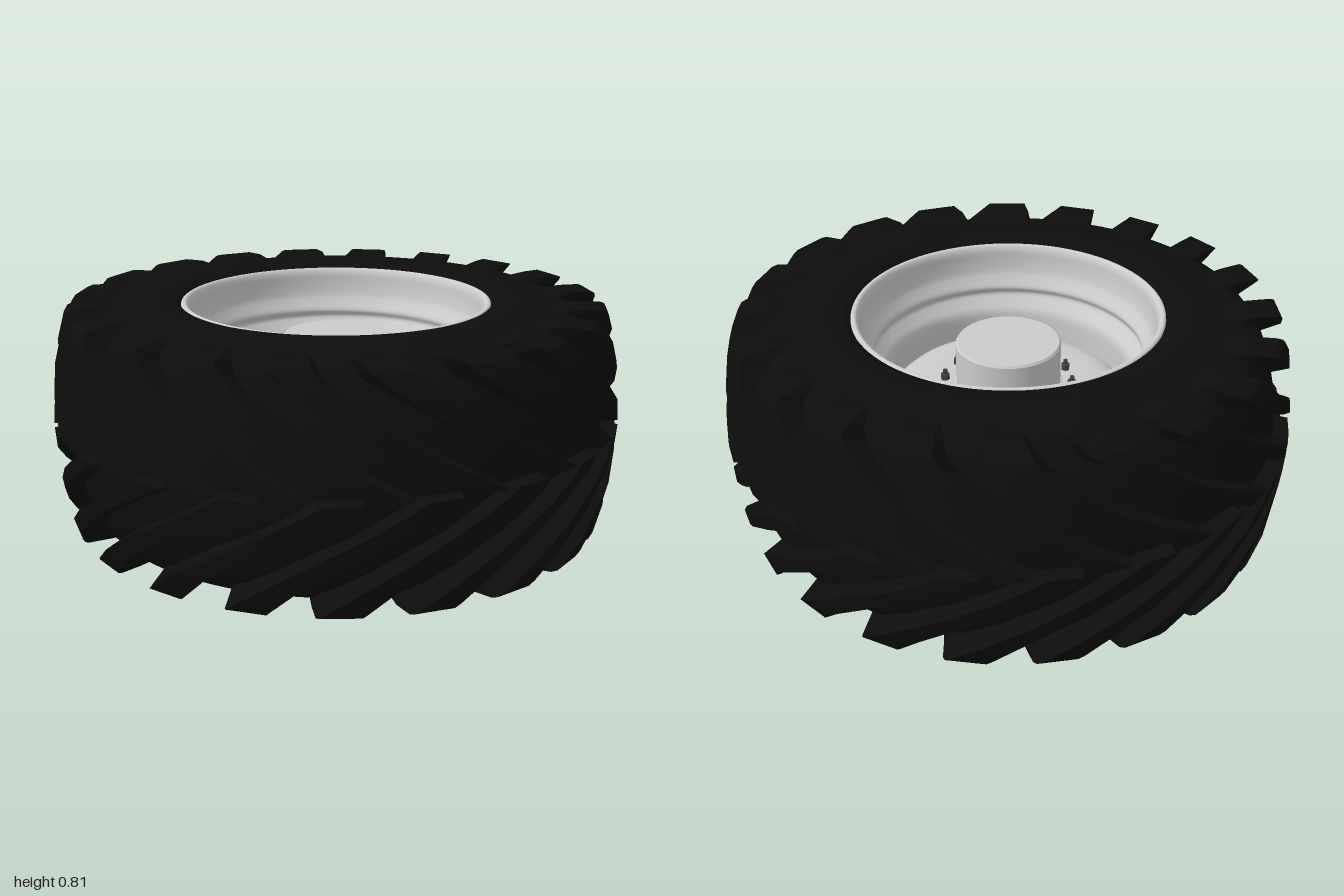
import * as THREE from 'three';
import { toCreasedNormals } from 'three/addons/utils/BufferGeometryUtils.js';

const MID = 0.405;      // height of the wheel's centre plane
const LUGS = 20;        // tread bars on each half
const PITCH = (Math.PI * 2) / LUGS;

const rubber = new THREE.MeshStandardMaterial({ color: 0x0d0d0d, side: THREE.DoubleSide });
const steel = new THREE.MeshStandardMaterial({ color: 0xcccccc, side: THREE.DoubleSide });
const darkSteel = new THREE.MeshStandardMaterial({ color: 0x444444 });

const vec = (list) => list.map(([r, y]) => new THREE.Vector2(r, y));

function addMesh(parent, name, geometry, material) {
  const mesh = new THREE.Mesh(geometry, material);
  mesh.name = name;
  parent.add(mesh);
  return mesh;
}

// Mirrors an upper-half profile (centre plane first) and turns it round the axle
function mirroredLathe(half, segments, smooth) {
  const lower = half.slice(1).reverse().map(([r, d]) => [r, -d]);
  let points = vec([...lower, ...half]);
  if (smooth) points = new THREE.SplineCurve(points).getPoints(smooth);
  return new THREE.LatheGeometry(points, segments);
}

// One tread bar: a tapered section swept from the centre plane over the shoulder.
// Each station: outer radius, outer offset, inner radius, inner offset, angle, half-width
const STATIONS = [
  [1.0, 0.0, 0.92, 0.0, 0.0, 0.055],
  [0.998, 0.04, 0.92, 0.04, -0.07, 0.05],
  [0.994, 0.1, 0.915, 0.1, -0.18, 0.048],
  [0.985, 0.2, 0.9, 0.19, -0.36, 0.052],
  [0.968, 0.3, 0.87, 0.28, -0.52, 0.058],
  [0.947, 0.37, 0.85, 0.33, -0.61, 0.068],
  [0.937, 0.387, 0.83, 0.34, -0.63, 0.071],
  [0.92, 0.394, 0.81, 0.35, -0.64, 0.073],
  [0.84, 0.398, 0.77, 0.37, -0.66, 0.075],
  [0.75, 0.394, 0.72, 0.37, -0.67, 0.07],
];

function lugGeometry(side) {
  const pos = [], index = [];
  const quad = (a, b, c, d) =>
    side > 0 ? index.push(a, b, c, a, c, d) : index.push(a, c, b, a, d, c);
  for (const [ro, dOut, ri, dIn, angle, w] of STATIONS) {
    const base = w + 0.025;
    for (const [r, d, a] of [[ri, dIn, -base], [ro, dOut, -w], [ro, dOut, w], [ri, dIn, base]]) {
      pos.push(r * Math.sin(angle + a), side * d, r * Math.cos(angle + a));
    }
  }
  for (let i = 0; i < STATIONS.length - 1; i++) {
    for (let k = 0; k < 3; k++) {
      const a = i * 4 + k;
      quad(a, a + 1, a + 5, a + 4);
    }
  }
  const last = (STATIONS.length - 1) * 4;
  quad(0, 3, 2, 1);
  quad(last, last + 1, last + 2, last + 3);
  // the section runs clockwise seen from outside, so flip every triangle
  for (let i = 0; i < index.length; i += 3) {
    [index[i + 1], index[i + 2]] = [index[i + 2], index[i + 1]];
  }
  const geometry = new THREE.BufferGeometry();
  geometry.setAttribute('position', new THREE.Float32BufferAttribute(pos, 3));
  geometry.setIndex(index);
  return toCreasedNormals(geometry, 0.6);
}

export function createModel() {
  const wheel = new THREE.Group();
  wheel.name = 'wheel';

  // Tyre body and its two staggered rows of bars
  const tyre = new THREE.Group();
  tyre.name = 'tyre';
  tyre.position.y = MID;
  wheel.add(tyre);
  const carcass = mirroredLathe([
    [0.945, 0], [0.935, 0.13], [0.91, 0.24], [0.88, 0.315], [0.84, 0.365],
    [0.78, 0.392], [0.65, 0.405], [0.58, 0.402], [0.55, 0.392], [0.54, 0.37],
  ], 100);
  addMesh(tyre, 'tyreBody', carcass, rubber);
  for (const side of [1, -1]) {
    const geometry = lugGeometry(side);
    for (let i = 0; i < LUGS; i++) {
      const lug = addMesh(tyre, side > 0 ? 'upperTreadBar' : 'lowerTreadBar', geometry, rubber);
      lug.rotation.y = (i + (side > 0 ? 0.7 : 0.2)) * PITCH;
    }
  }

  // Rim barrel with flanges and stepped ribs
  const rim = mirroredLathe([
    [0.435, 0], [0.435, 0.09], [0.44, 0.15], [0.465, 0.185], [0.482, 0.21],
    [0.474, 0.235], [0.492, 0.265], [0.505, 0.29], [0.513, 0.33], [0.517, 0.37],
    [0.528, 0.39], [0.543, 0.388], [0.546, 0.37],
  ], 80, 110);
  addMesh(wheel, 'rimBarrel', rim, steel).position.y = MID;

  // Domed centre disc
  const disc = new THREE.LatheGeometry(vec([
    [0.437, 0.38], [0.434, 0.42], [0.422, 0.455], [0.395, 0.48], [0.35, 0.495],
    [0.28, 0.5], [0.18, 0.5],
  ]), 80);
  addMesh(wheel, 'centreDisc', disc, steel);

  // Hub cap with a small collar at its foot
  const cap = new THREE.LatheGeometry(vec([
    [0.195, 0.495], [0.195, 0.508], [0.186, 0.512], [0.186, 0.662], [0.18, 0.67], [0, 0.67],
  ]), 48);
  addMesh(wheel, 'hubCap', toCreasedNormals(cap, 0.6), steel);

  // Ring of wheel nuts on studs
  const nutGeometry = new THREE.CylinderGeometry(0.016, 0.016, 0.022, 6).toNonIndexed();
  nutGeometry.computeVertexNormals();
  const studGeometry = new THREE.CylinderGeometry(0.008, 0.008, 0.05, 10);
  for (let i = 0; i < 12; i++) {
    const a = (i * Math.PI) / 6;
    const x = 0.228 * Math.sin(a), z = 0.228 * Math.cos(a);
    const nut = addMesh(wheel, 'wheelNut', nutGeometry, darkSteel);
    nut.position.set(x, 0.511, z);
    nut.rotation.y = a;
    addMesh(wheel, 'wheelStud', studGeometry, darkSteel).position.set(x, 0.513, z);
  }

  return wheel;
}
